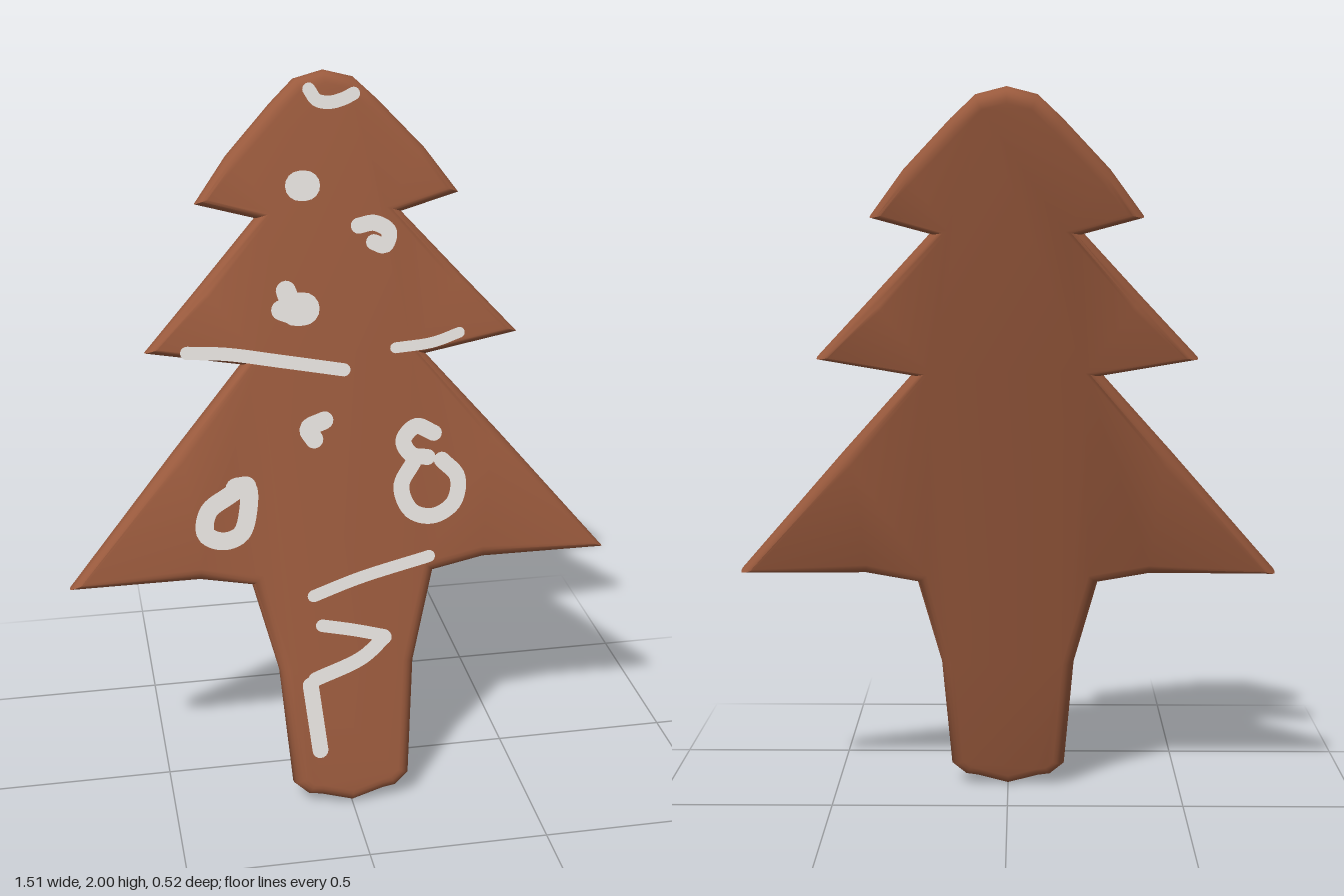
import * as THREE from 'three';
import { toCreasedNormals, mergeGeometries } from 'three/addons/utils/BufferGeometryUtils.js';

const TILT = 0.222;      // lean of the slab, top towards the back
const HALF = 0.0415;     // half the slab thickness
const COS = Math.cos(TILT);

const gingerbread = new THREE.MeshStandardMaterial({ color: 0x9a5a3d });
gingerbread.name = 'gingerbread';
const icing = new THREE.MeshStandardMaterial({ color: 0xe4e0dc, side: THREE.DoubleSide });
icing.name = 'icing';

// right half of the tree outline, from the top down
const HALF_OUTLINE = [
  [0, 2.0], [0.08, 1.98], [0.145, 1.92], [0.27, 1.79], [0.36, 1.67],
  [0.2, 1.627], [0.36, 1.455], [0.515, 1.29],
  [0.255, 1.245], [0.455, 1.02], [0.755, 0.672],
  [0.4, 0.672], [0.255, 0.645], [0.19, 0.395], [0.165, 0.07],
  [0.125, 0.035], [0.09, 0.03], [0, 0.005],
];

function cookieGeometry() {
  const left = HALF_OUTLINE.slice(1, -1).map(([x, y]) => [-x, y]);
  const loop = [...left, HALF_OUTLINE.at(-1), ...HALF_OUTLINE.slice(0, -1).reverse()];
  const shape = new THREE.Shape(loop.map(([x, y]) => new THREE.Vector2(x, (y - 1) / COS)));
  const bevel = 0.034;
  const geo = new THREE.ExtrudeGeometry(shape, {
    depth: 2 * (HALF - bevel), bevelEnabled: true, bevelThickness: bevel,
    bevelSize: bevel, bevelOffset: -bevel, bevelSegments: 5,
  });
  geo.translate(0, 0, -(HALF - bevel));
  return toCreasedNormals(geo, 0.9);
}

// flat piped line with round ends
function strokeGeometry(points, width, closed = false) {
  const path = points.map(([x, y]) => new THREE.Vector3(x, (y - 1.009) / COS, 0));
  const curve = new THREE.CatmullRomCurve3(path, closed, 'centripetal');
  const n = points.length * 6;
  const pos = [], index = [];
  for (let i = 0; i <= n; i++) {
    const p = curve.getPointAt(i / n), t = curve.getTangentAt(i / n);
    const ox = -t.y * width / 2, oy = t.x * width / 2;
    pos.push(p.x + ox, p.y + oy, 0, p.x - ox, p.y - oy, 0);
    if (i < n) {
      const a = 2 * i;
      index.push(a, a + 1, a + 3, a, a + 3, a + 2);
    }
  }
  const ribbon = new THREE.BufferGeometry();
  ribbon.setAttribute('position', new THREE.Float32BufferAttribute(pos, 3));
  ribbon.setAttribute('normal', new THREE.Float32BufferAttribute(pos.map((_, i) => (i % 3 === 2 ? 1 : 0)), 3));
  ribbon.setIndex(index);
  const caps = [path[0], path.at(-1)].map((p) => {
    const c = new THREE.CircleGeometry(width / 2, 16).translate(p.x, p.y, 0);
    c.deleteAttribute('uv');
    return c;
  });
  return mergeGeometries([ribbon, ...caps]);
}

// piped icing: name, centre line, width, closed
const ICING = [
  ['topCurl', [[-0.045, 1.96], [-0.025, 1.932], [0.01, 1.925], [0.045, 1.932], [0.075, 1.945]], 0.035],
  ['upperDot', [[-0.08, 1.715], [-0.065, 1.715]], 0.08],
  ['upperHook', [[0.075, 1.605], [0.12, 1.61], [0.158, 1.585], [0.145, 1.55], [0.115, 1.56]], 0.043],
  ['pearDrop', [[-0.105, 1.395], [-0.085, 1.395]], 0.09],
  ['pearDropLeft', [[-0.145, 1.395], [-0.12, 1.385]], 0.055],
  ['pearDropTip', [[-0.13, 1.445], [-0.115, 1.4]], 0.055],
  ['leftGarland', [[-0.405, 1.297], [-0.3, 1.288], [-0.15, 1.26], [0.02, 1.227]], 0.036],
  ['rightGarland', [[0.165, 1.277], [0.27, 1.286], [0.345, 1.308]], 0.03],
  ['middleSpot', [[-0.04, 1.095], [-0.085, 1.075], [-0.07, 1.045]], 0.05],
  ['leftRing', [[-0.262, 0.93], [-0.262, 0.86], [-0.285, 0.802], [-0.335, 0.787],
    [-0.38, 0.81], [-0.37, 0.87], [-0.32, 0.905]], 0.05, true],
  ['leftRingKnot', [[-0.29, 0.928], [-0.265, 0.93]], 0.06],
  ['rightUpperLoop', [[0.265, 1.04], [0.215, 1.062], [0.178, 1.025], [0.2, 0.985], [0.245, 0.975]], 0.045],
  ['rightRing', [[0.205, 0.965], [0.168, 0.9], [0.195, 0.83], [0.255, 0.812],
    [0.315, 0.845], [0.328, 0.915], [0.285, 0.965]], 0.045],
  ['lowerGarland', [[-0.09, 0.615], [0.04, 0.655], [0.24, 0.7]], 0.035],
  ['trunkZigzagTop', [[-0.07, 0.53], [0.02, 0.51], [0.105, 0.487]], 0.036],
  ['trunkZigzagMiddle', [[0.105, 0.482], [0.04, 0.43], [-0.095, 0.38]], 0.042],
  ['trunkZigzagBottom', [[-0.11, 0.365], [-0.1, 0.27], [-0.09, 0.175]], 0.045],
];

export function createModel() {
  const model = new THREE.Group();
  model.name = 'gingerbreadTree';

  const slab = new THREE.Group();
  slab.name = 'leaningCookie';
  slab.position.y = 1;
  slab.rotation.x = -TILT;
  model.add(slab);

  const cookie = new THREE.Mesh(cookieGeometry(), gingerbread);
  cookie.name = 'treeCookie';
  slab.add(cookie);

  // icing lies just above the front face
  for (const [name, points, width, closed] of ICING) {
    const mesh = new THREE.Mesh(strokeGeometry(points, width, closed), icing);
    mesh.name = name;
    mesh.position.z = HALF + 0.002;
    slab.add(mesh);
  }
  return model;
}
